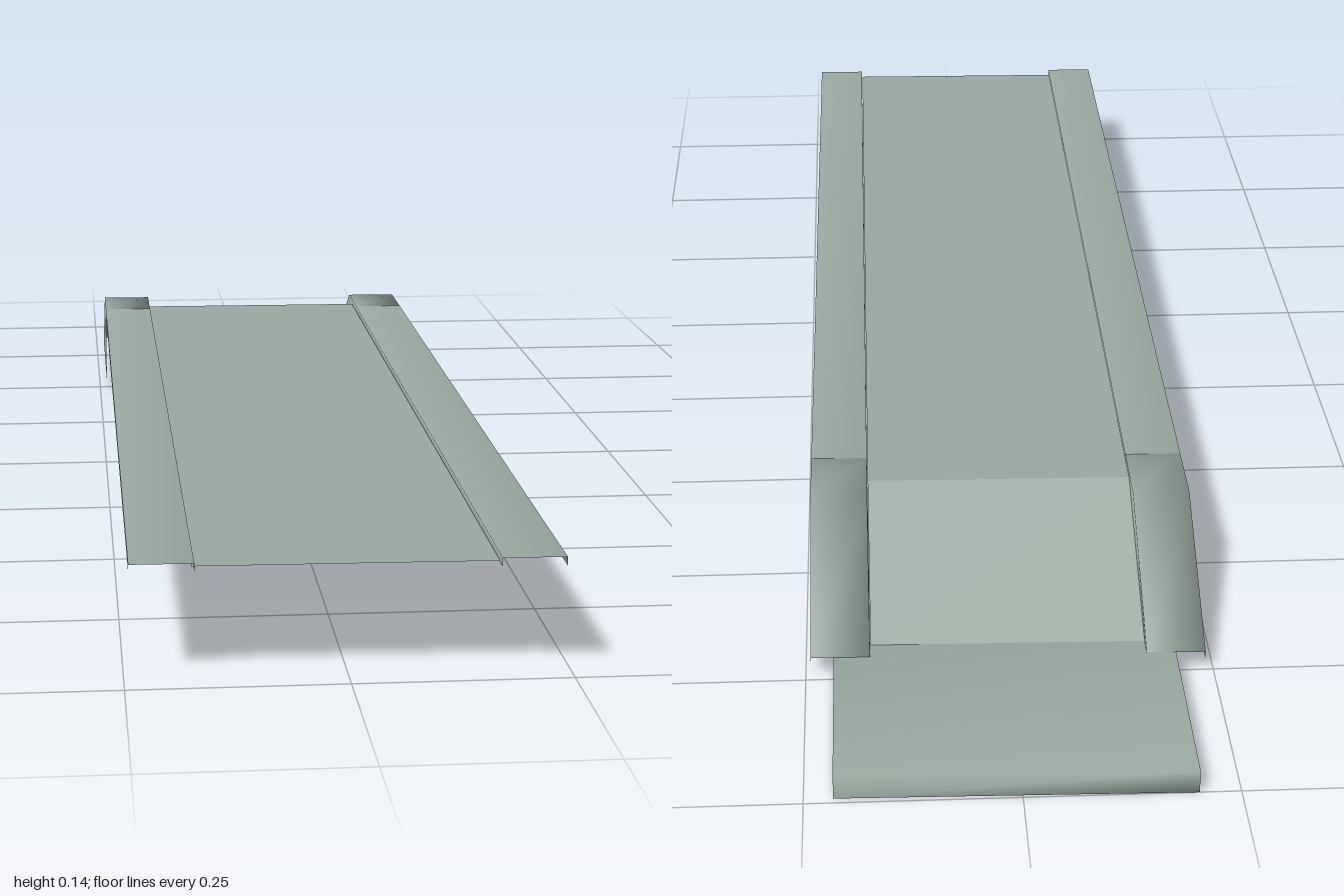
import * as THREE from 'three';
import { mergeVertices } from 'three/addons/utils/BufferGeometryUtils.js';

const metal = new THREE.MeshStandardMaterial({ color: 0x9aaba2, side: THREE.DoubleSide });
metal.name = 'grey green metal';

// slight skew shared by the whole assembly
const skew = new THREE.Matrix4().set(
  1, 0, -0.003, 0,
  0, 1, 0, 0,
  0.02, 0, 1, 0,
  0, 0, 0, 1);

// skin over a row of open cross-sections, each a list of [x, y, z], with smooth shared normals
function loft(sections) {
  const n = sections[0].length, index = [];
  for (let s = 0; s < sections.length - 1; s++) {
    for (let p = 0; p < n - 1; p++) {
      const a = s * n + p, c = a + n;
      index.push(a, c, a + 1, a + 1, c, c + 1);
    }
  }
  const g = new THREE.BufferGeometry();
  g.setAttribute('position', new THREE.Float32BufferAttribute(sections.flat(2), 3));
  g.setIndex(index);
  return g;
}

function addPart(group, name, geometry) {
  geometry.applyMatrix4(skew);
  geometry.computeVertexNormals();
  const mesh = new THREE.Mesh(geometry, metal);
  mesh.name = name;
  group.add(mesh);
}

// flat sheet running from one (y, z) to another
const sheet = (x0, x1, from, to) =>
  loft([from, to].map(([y, z]) => [[x1, y, z], [x0, y, z]]));

export function createModel() {
  const group = new THREE.Group();
  group.name = 'ramp';

  // long deck and sloping end
  addPart(group, 'deck', sheet(-0.172, 0.168, [0.134, 0.985], [0.134, -0.5]));
  addPart(group, 'slope', sheet(-0.172, 0.168, [0.134, -0.5], [0.026, -0.73]));

  // side rails: downturned channels whose walls deepen into skirts at the slope
  const stations = [ // z, top, bottom
    [0.995, 0.14, 0.13], [-0.45, 0.14, 0.13], [-0.45, 0.14, 0.02],
    [-0.55, 0.14, 0.02], [-0.752, 0.03, 0.02],
  ];
  for (const side of [1, -1]) {
    const outer = 0.241 * side, inner = 0.169 * side;
    const sections = stations.map(([z, top, bottom]) => {
      const profile = [[outer, bottom, z], [outer, top, z], [inner, top, z], [inner, bottom, z]];
      return side > 0 ? profile : profile.reverse();
    });
    addPart(group, side > 0 ? 'leftRail' : 'rightRail', loft(sections));
  }

  // thin cross ribs under the slope
  for (const [y, z] of [[0.088, -0.58], [0.055, -0.65]]) {
    const rib = new THREE.BoxGeometry(0.336, 0.008, 0.008);
    rib.translate(-0.002, y, z);
    addPart(group, 'slopeRib', rib);
  }

  // landing pad: a tray open underneath, with softly shared corner normals
  let pad = new THREE.BoxGeometry(0.418, 0.029, 0.272);
  pad.deleteAttribute('normal');
  pad.deleteAttribute('uv');
  const faces = Array.from(pad.index.array);
  faces.splice(18, 6);
  pad.setIndex(faces);
  pad.clearGroups();
  pad = mergeVertices(pad);
  pad.translate(0.004, 0.0145, -0.86);
  addPart(group, 'landingPad', pad);

  return group;
}
